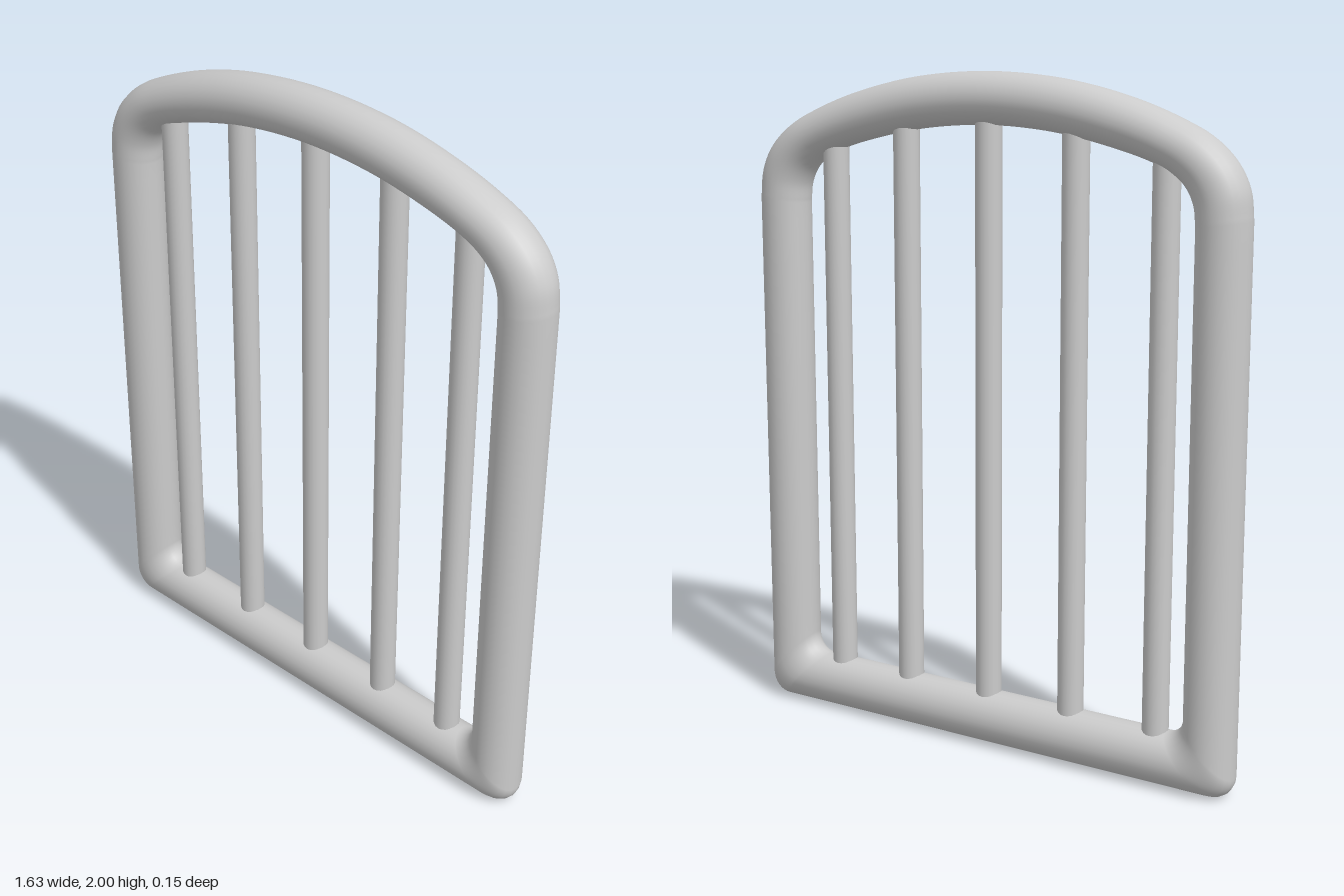
import * as THREE from 'three';

const DEPTH = 0.077; // half thickness of the frame in z
const SIDES = 24;

// Matching outer and inner outline points for the right half, bottom centre to top centre
function halfOutline() {
  const pairs = [];
  const add = (ox, oy, ix, iy) => pairs.push([ox, oy, ix, iy]);
  for (const x of [0, 0.3, 0.54]) add(x, 0, x, 0.16);
  // Rounded lower corner
  const r = 0.06;
  for (let k = 0; k <= 10; k++) {
    const a = -Math.PI / 2 + (k / 10) * (Math.PI / 2);
    const c = r * Math.cos(a), s = r * Math.sin(a);
    add(0.755 + c, 0.06 + s, 0.6 + c, 0.22 + s);
  }
  // Upright
  for (const y of [0.26, 0.6, 1.1, 1.55]) add(0.815, y, 0.66, y);
  // Shoulder and arch
  const outer = [[0.815, 1.62], [0.805, 1.7], [0.77, 1.77], [0.7, 1.835], [0.6, 1.885], [0.45, 1.938], [0.25, 1.982], [0, 2]];
  const inner = [[0.66, 1.6], [0.653, 1.655], [0.63, 1.7], [0.59, 1.735], [0.53, 1.763], [0.4, 1.8], [0.22, 1.835], [0, 1.85]];
  // Mirrored points past the crown keep the arch level at the top
  const curve = (pts) => new THREE.CatmullRomCurve3(
    [...pts, ...pts.slice(0, -1).reverse().map(([x, y]) => [-x, y])].map(([x, y]) => new THREE.Vector3(x, y, 0)));
  const co = curve(outer), ci = curve(inner), n = 42;
  for (let k = 0; k <= n; k++) {
    const p = co.getPoint(k / n / 2), q = ci.getPoint(k / n / 2);
    add(p.x, p.y, q.x, q.y);
  }
  return pairs;
}

// Closed tube whose sections span from the outer to the inner outline
function frameGeometry() {
  const half = halfOutline();
  const left = half.slice(1, -1).reverse().map(([ox, oy, ix, iy]) => [-ox, oy, -ix, iy]);
  const loop = [...half, ...left];
  const pos = [], index = [], n = loop.length;
  loop.forEach(([ox, oy, ix, iy], i) => {
    for (let j = 0; j < SIDES; j++) {
      const a = (j / SIDES) * Math.PI * 2, c = Math.cos(a) / 2;
      pos.push((ox + ix) / 2 + (ox - ix) * c, (oy + iy) / 2 + (oy - iy) * c, DEPTH * Math.sin(a));
      const i2 = (i + 1) % n, j2 = (j + 1) % SIDES;
      const A = i * SIDES + j, B = i2 * SIDES + j, C = i * SIDES + j2, D = i2 * SIDES + j2;
      index.push(A, B, C, B, D, C);
    }
  });
  const g = new THREE.BufferGeometry();
  g.setAttribute('position', new THREE.Float32BufferAttribute(pos, 3));
  g.setIndex(index);
  g.computeVertexNormals();
  return g;
}

export function createModel() {
  const group = new THREE.Group();
  group.name = 'archedBarWindow';
  const material = new THREE.MeshStandardMaterial({ color: 0xcccccc });

  const frame = new THREE.Mesh(frameGeometry(), material);
  frame.name = 'archedFrame';
  group.add(frame);

  // Vertical bars, ends buried in the frame: [x, top]
  const bars = new THREE.Group();
  bars.name = 'verticalBars';
  const bottom = 0.09;
  [[-0.565, 1.8], [-0.285, 1.87], [0, 1.91], [0.285, 1.87], [0.543, 1.8]].forEach(([x, top], i) => {
    const bar = new THREE.Mesh(new THREE.CylinderGeometry(0.039, 0.039, top - bottom, 20), material);
    bar.position.set(x, (top + bottom) / 2, 0);
    bar.name = `bar${i + 1}`;
    bars.add(bar);
  });
  group.add(bars);
  return group;
}
